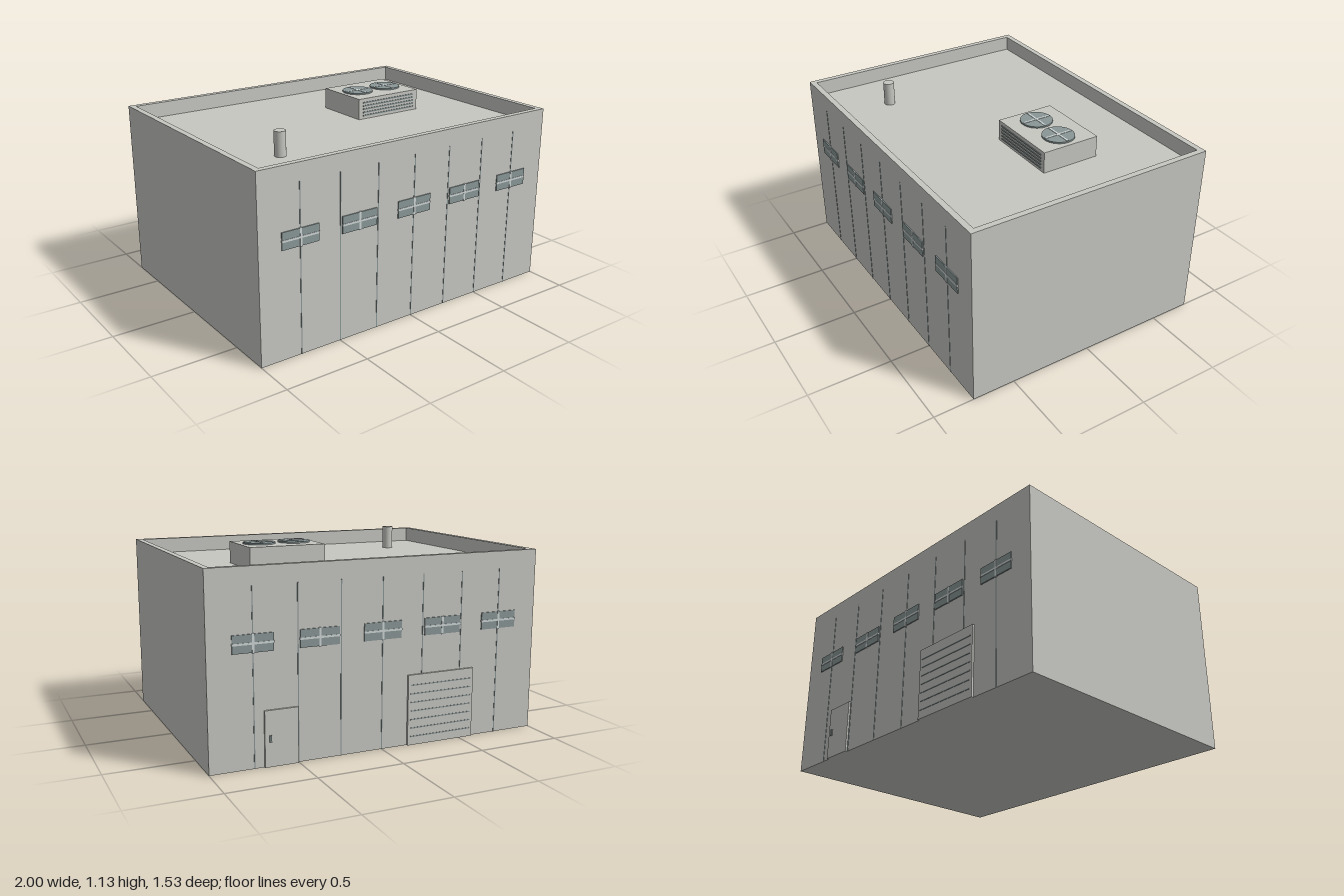
import * as THREE from 'three';

const mat = (name, color) => {
  const m = new THREE.MeshStandardMaterial({ color });
  m.name = name;
  return m;
};

export function createModel() {
  const wall = mat('concrete', 0xc7c7c2);
  const glass = mat('blueGrey', 0x8a9797);
  const trim = mat('lightTrim', 0xd0d6d6);

  const model = new THREE.Group();
  model.name = 'warehouse';
  const FRONT = 0.757, BACK = -0.746, TOP = 1.075, ROOF = 0.985;

  const add = (parent, name, geo, material, x = 0, y = 0, z = 0) => {
    const m = new THREE.Mesh(geo, material);
    m.name = name;
    m.position.set(x, y, z);
    parent.add(m);
    return m;
  };
  // Box given by its minimum and maximum on each axis
  const box = (parent, name, material, x0, x1, y0, y1, z0, z1) =>
    add(parent, name, new THREE.BoxGeometry(x1 - x0, y1 - y0, z1 - z0), material,
      (x0 + x1) / 2, (y0 + y1) / 2, (z0 + z1) / 2);

  // Main block up to the roof deck
  box(model, 'building', wall, -1, 1, 0, ROOF, BACK, FRONT);

  // Parapet ring around the roof
  const rect = (P, x, z0, z1) => {
    const p = new P();
    p.moveTo(-x, -z1).lineTo(x, -z1).lineTo(x, -z0).lineTo(-x, -z0).closePath();
    return p;
  };
  const ring = rect(THREE.Shape, 1, BACK, FRONT);
  ring.holes.push(rect(THREE.Path, 0.965, BACK + 0.035, FRONT - 0.035));
  const parapet = new THREE.ExtrudeGeometry(ring, { depth: TOP - ROOF, bevelEnabled: false });
  parapet.rotateX(-Math.PI / 2);
  add(model, 'parapet', parapet, wall, 0, ROOF, 0);

  // Panel joints and windows, the same on both long walls
  const facade = (name, z, turn) => {
    const g = new THREE.Group();
    g.name = name;
    g.position.z = z;
    g.rotation.y = turn;
    for (let i = -3; i <= 3; i++) {
      const x = i * 0.25;
      box(g, 'panelJoint', glass, x - 0.003, x + 0.003, 0, 0.975, -0.002, 0.002);
    }
    for (let i = -2; i <= 2; i++) {
      const w = new THREE.Group();
      w.name = 'window';
      w.position.set(i * 0.375, 0.677, 0);
      box(w, 'pane', glass, -0.114, 0.114, -0.049, 0.049, -0.001, 0.006);
      box(w, 'verticalBar', trim, -0.006, 0.006, -0.052, 0.052, 0, 0.008);
      box(w, 'horizontalBar', trim, -0.116, 0.116, -0.006, 0.006, 0, 0.008);
      g.add(w);
    }
    model.add(g);
  };
  facade('frontFacade', FRONT, 0);
  facade('backFacade', BACK, Math.PI);

  // Roller door with slat lines
  box(model, 'rollerDoor', wall, -0.585, -0.16, 0, 0.41, BACK - 0.012, BACK);
  for (let i = 1; i <= 7; i++) {
    const y = i * 0.05;
    box(model, 'slatLine', glass, -0.57, -0.175, y - 0.003, y + 0.003, BACK - 0.014, BACK - 0.01);
  }

  // Side door with handle
  box(model, 'door', wall, 0.505, 0.695, 0, 0.312, BACK - 0.012, BACK);
  box(model, 'doorHandle', glass, 0.658, 0.67, 0.138, 0.176, BACK - 0.019, BACK - 0.01);

  // Rooftop cooling unit with louvres and two fans
  const unit = new THREE.Group();
  unit.name = 'coolingUnit';
  model.add(unit);
  box(unit, 'unitBody', wall, 0.145, 0.6, ROOF, 1.112, -0.3, 0.057);
  for (let i = 0; i < 5; i++) {
    const y = 1.006 + i * 0.02;
    box(unit, 'louvre', glass, 0.175, 0.57, y - 0.004, y + 0.004, 0.055, 0.061);
  }
  for (const x of [0.265, 0.48]) {
    add(unit, 'fan', new THREE.CylinderGeometry(0.094, 0.094, 0.01, 32), glass, x, 1.116, -0.12);
    box(unit, 'fanBar', trim, x - 0.088, x + 0.088, 1.116, 1.123, -0.126, -0.114);
    box(unit, 'fanBar', trim, x - 0.006, x + 0.006, 1.116, 1.123, -0.208, -0.032);
  }

  // Vent pipe
  add(model, 'ventPipe', new THREE.CylinderGeometry(0.033, 0.033, 0.142, 24), wall, -0.627, ROOF + 0.071, 0.382);

  return model;
}
